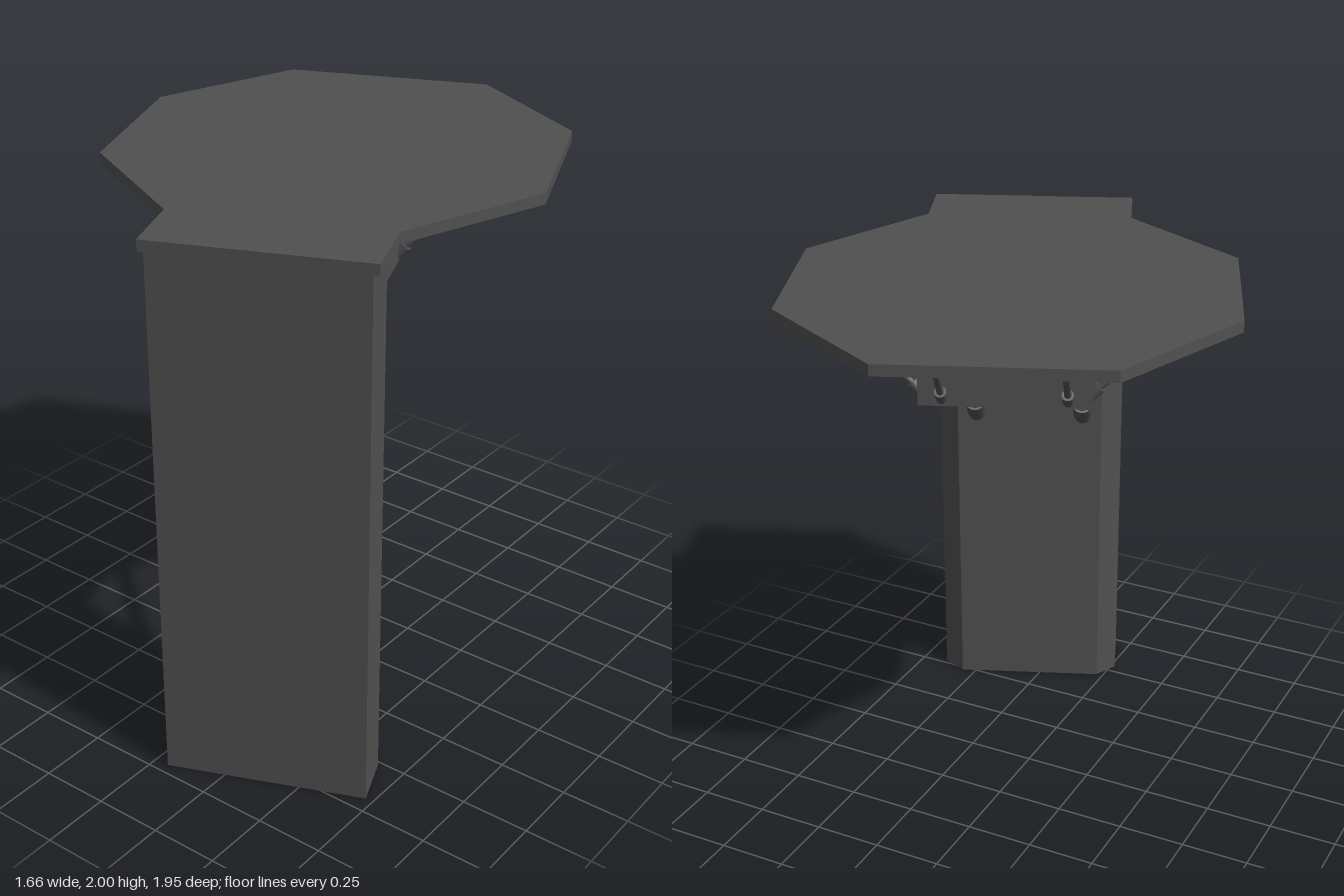
import * as THREE from 'three';

const TOP = 2, UNDER = 1.96, BEAM_Y = 1.71;   // plate top, plate underside, beam underside
const BACK = 0.655, FRONT = 0.912;            // column back and front
const BEAM_W = 0.285, BEAM_END = -0.51;       // beam half width and free end

// Prism standing on y0 from half an outline [x, z], mirrored in x
function prism(half, y0, y1) {
  const all = [...half, ...half.slice().reverse().map(([x, z]) => [-x, z])];
  const shape = new THREE.Shape(all.map(([x, z]) => new THREE.Vector2(x, -z)));
  const geo = new THREE.ExtrudeGeometry(shape, { depth: y1 - y0, bevelEnabled: false });
  return geo.rotateX(-Math.PI / 2).translate(0, y0, 0);
}

// Keep only the walls of a prism, leaving both ends open
function wallsOnly(geo) {
  const start = geo.groups[1].start * 3;
  const open = new THREE.BufferGeometry();
  for (const name of ['position', 'normal'])
    open.setAttribute(name, new THREE.BufferAttribute(geo.attributes[name].array.slice(start), 3));
  return open;
}

// Round rod from a to b with a thicker collar sunk into the surface at each end
function strut(name, a, b, rodR, collarR, collarLen, material) {
  const group = new THREE.Group();
  group.name = name;
  const length = a.distanceTo(b);
  const add = (part, r, len, y) => {
    const mesh = new THREE.Mesh(new THREE.CylinderGeometry(r, r, len, 20), material);
    mesh.name = part;
    mesh.position.y = y;
    group.add(mesh);
  };
  add('rod', rodR, length, 0);
  for (const s of [-1, 1])
    add('collar', collarR, collarLen + collarR, s * (length / 2 + (collarR - collarLen) / 2));
  group.position.copy(a).add(b).multiplyScalar(0.5);
  group.quaternion.setFromUnitVectors(new THREE.Vector3(0, 1, 0), b.clone().sub(a).normalize());
  return group;
}

export function createModel() {
  const model = new THREE.Group();
  model.name = 'platformOnColumn';
  const grey = new THREE.MeshStandardMaterial({ color: 0x505050, side: THREE.DoubleSide });
  grey.name = 'darkGrey';

  // The whole structure is turned about the vertical axis
  const turned = new THREE.Group();
  turned.name = 'structure';
  turned.rotation.y = 0.39;
  turned.position.set(0.041, 0, -0.017);
  model.add(turned);

  const add = (name, geo) => {
    const mesh = new THREE.Mesh(geo, grey);
    mesh.name = name;
    turned.add(mesh);
  };

  // Eight-sided deck with a tab over the column
  add('deck', prism([[0.381, FRONT], [0.381, 0.652], [0.766, 0.204], [0.766, -0.428], [0.381, -0.885]], UNDER, TOP));

  // Hollow column with chamfered back corners
  add('column', wallsOnly(prism([[0.36, FRONT], [0.36, 0.725], [BEAM_W, BACK]], 0, UNDER)));

  // Beam under the deck
  const beam = new THREE.BoxGeometry(BEAM_W * 2, UNDER - BEAM_Y, BACK - BEAM_END);
  add('beam', beam.translate(0, (UNDER + BEAM_Y) / 2, (BACK + BEAM_END) / 2));

  const V = (x, y, z) => new THREE.Vector3(x, y, z);
  for (const s of [-1, 1]) {
    // Large braces from the column to the beam
    turned.add(strut('columnBrace', V(s * 0.21, 1.21, BACK), V(s * 0.21, BEAM_Y, 0.155), 0.028, 0.038, 0.07, grey));

    // Small braces from the beam sides and end to the deck
    for (const z of [0.2, -0.455])
      turned.add(strut('sideBrace', V(s * BEAM_W, 1.745, z), V(s * (BEAM_W + 0.215), UNDER, z), 0.012, 0.02, 0.035, grey));
    turned.add(strut('endBrace', V(s * 0.207, 1.745, BEAM_END), V(s * 0.207, UNDER, BEAM_END - 0.215), 0.012, 0.02, 0.035, grey));
  }
  return model;
}
